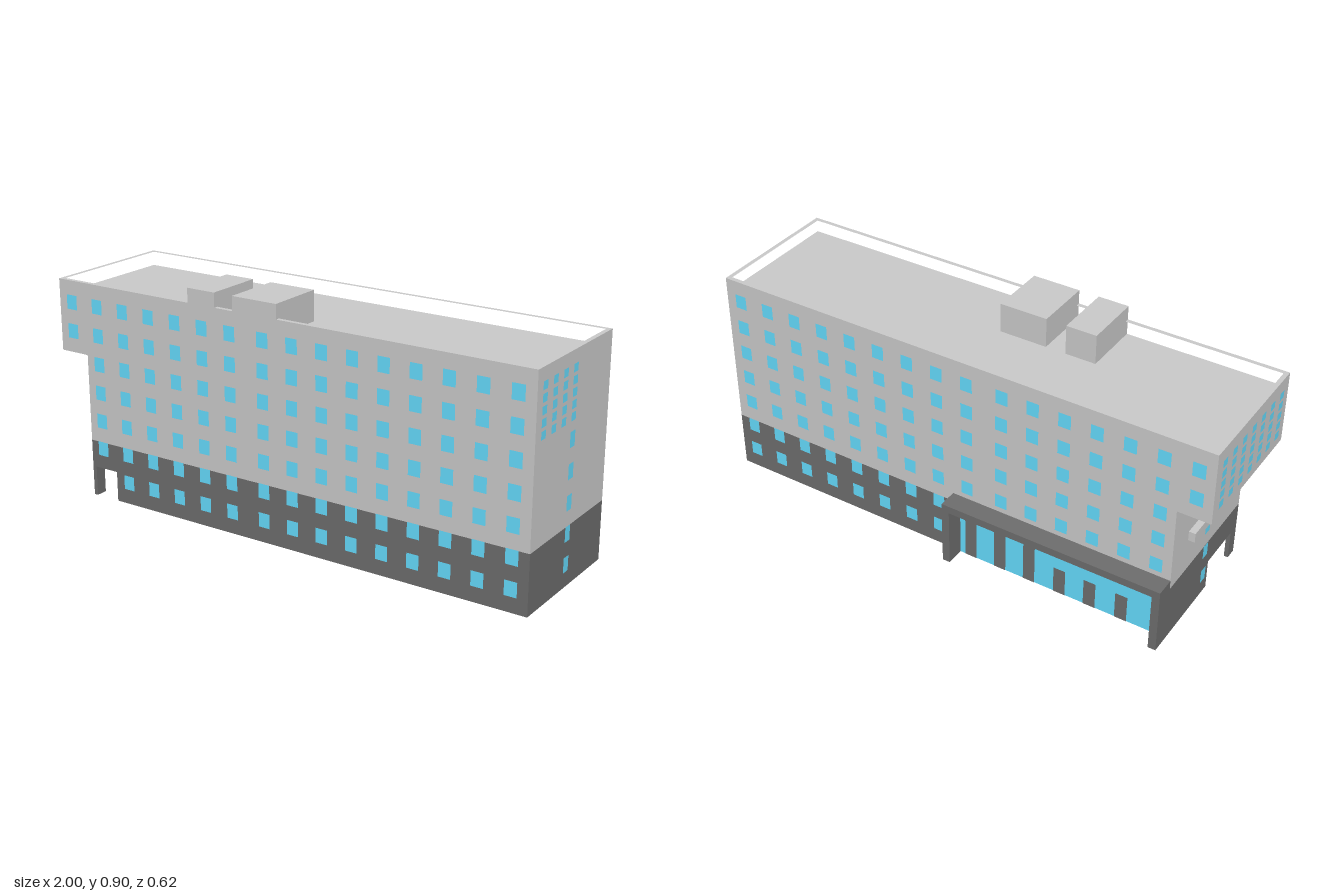
import * as THREE from 'three';
import { mergeGeometries } from 'three/addons/utils/BufferGeometryUtils.js';

const wallMat = new THREE.MeshStandardMaterial({ color: 0xcccccc });
const baseMat = new THREE.MeshStandardMaterial({ color: 0x6e6e6e });
const glassMat = new THREE.MeshStandardMaterial({ color: 0x66ddff });

// Building limits
const END = -0.875, BACK = -0.235, FRONT = 0.31;
const BASE_TOP = 0.225, OVERHANG = 0.565, TOP = 0.845, ROOF = 0.785;

// Box given by its limits on each axis
function box(name, mat, [x0, x1], [y0, y1], [z0, z1]) {
  const g = new THREE.BoxGeometry(x1 - x0, y1 - y0, z1 - z0);
  g.translate((x0 + x1) / 2, (y0 + y1) / 2, (z0 + z1) / 2);
  const mesh = new THREE.Mesh(g, mat);
  mesh.name = name;
  return mesh;
}

// Flat plan (x, z) raised from y0 to y1
function raisedPlan(name, mat, points, y0, y1, hole) {
  const vec = ([x, z]) => new THREE.Vector2(x, -z);
  const shape = new THREE.Shape(points.map(vec));
  if (hole) shape.holes.push(new THREE.Path(hole.map(vec)));
  const g = new THREE.ExtrudeGeometry(shape, { depth: y1 - y0, bevelEnabled: false });
  g.rotateX(-Math.PI / 2).translate(0, y0, 0);
  const mesh = new THREE.Mesh(g, mat);
  mesh.name = name;
  return mesh;
}

const rect = (x0, x1, z0, z1) => [[x0, z0], [x1, z0], [x1, z1], [x0, z1]];

// Panes on one wall: each spot is [x, y, z, width, height], turned to face outward
function panes(name, mat, turn, spots) {
  const mesh = new THREE.Mesh(mergeGeometries(spots.map(([x, y, z, w, h]) =>
    new THREE.PlaneGeometry(w, h).rotateY(turn).translate(x, y, z))), mat);
  mesh.name = name;
  return mesh;
}

export function createModel() {
  const model = new THREE.Group();
  model.name = 'building';
  const gap = 0.0015;

  // Dark base with an open corner at the front
  model.add(
    raisedPlan('baseLower', baseMat,
      [[END, BACK], [1, BACK], [1, FRONT], [-0.755, FRONT], [-0.755, 0.078], [END, 0.078]], 0, 0.118),
    box('baseUpper', baseMat, [END, 1], [0.118, BASE_TOP], [BACK, FRONT]),
    box('cornerPost', baseMat, [END, END + 0.016], [0, 0.118], [FRONT - 0.045, FRONT]));

  // Storeys, overhanging top floors, parapet
  model.add(
    box('middleFloors', wallMat, [END, 1], [BASE_TOP, OVERHANG], [BACK, FRONT]),
    box('topFloors', wallMat, [-1, 1], [OVERHANG, ROOF], [BACK, FRONT]),
    raisedPlan('parapet', wallMat, rect(-1, 1, BACK, FRONT), ROOF, TOP,
      rect(-0.983, 0.983, BACK + 0.017, FRONT - 0.017)));

  // Rooftop housings
  for (const span of [[-0.382, -0.262], [-0.183, 0.005]])
    model.add(box('rooftopHousing', wallMat, span, [ROOF, 0.9], [0.082, FRONT]));

  // Ledges on the end wall beneath the overhang
  for (const y of [0.36, 0.472])
    model.add(box('endLedge', wallMat, [-0.9, END], [y, y + 0.038], [-0.12, 0.055]));

  // Long facades
  const columns = [];
  for (let i = 0; i < 7; i++) columns.push(-0.94 + 0.1235 * i);
  for (let i = 8; i >= 0; i--) columns.push(0.936 - 0.124 * i);
  const rows = Array.from({ length: 7 }, (_, i) => 0.086 + 0.1125 * i);
  const front = [], back = [];
  for (const x of columns) {
    rows.forEach((y, r) => {
      if (x < END && r < 5) return;
      if (!(x < -0.75 && r === 0)) front.push([x, y, FRONT + gap, 0.048, 0.056]);
      if (x > 0.005 || r > 1) back.push([x, y, BACK - gap, 0.048, 0.056]);
    });
  }
  model.add(panes('frontWindows', glassMat, 0, front), panes('backWindows', glassMat, Math.PI, back));

  // End walls: one column low down, a grid of small windows above
  for (const side of [1, -1]) {
    const spots = [];
    const lowX = side > 0 ? 1 + gap : END - gap;
    for (const y of rows.slice(0, 5)) spots.push([lowX, y, 0.039, 0.036, 0.056]);
    for (let c = 0; c < (side > 0 ? 4 : 7); c++)
      for (let r = 0; r < 5; r++)
        spots.push([side * (1 + gap), 0.615 + 0.0418 * r, 0.257 - 0.0725 * c, 0.032, 0.029]);
    model.add(panes(side > 0 ? 'leftEndWindows' : 'rightEndWindows', glassMat, side * Math.PI / 2, spots));
  }

  // Back entrance: frame, glazing, dark piers and doors
  const px = [END, 0.005], pz = [-0.31, BACK];
  model.add(
    box('entranceCanopy', baseMat, px, [0.232, 0.262], pz),
    box('entranceSide', baseMat, [px[0], px[0] + 0.03], [0, 0.232], pz),
    box('entranceSide', baseMat, [px[1] - 0.03, px[1]], [0, 0.232], pz),
    panes('entranceGlass', glassMat, Math.PI, [[-0.435, 0.116, BACK - gap, 0.82, 0.232]]));
  const bars = [-0.072, -0.197, -0.32, -0.447, -0.57, -0.697].map((x, i) => {
    const h = i < 3 ? 0.232 : 0.11;
    return [x, h / 2, BACK - 2 * gap, 0.048, h];
  });
  model.add(panes('entrancePiersAndDoors', baseMat, Math.PI, bars));

  return model;
}
